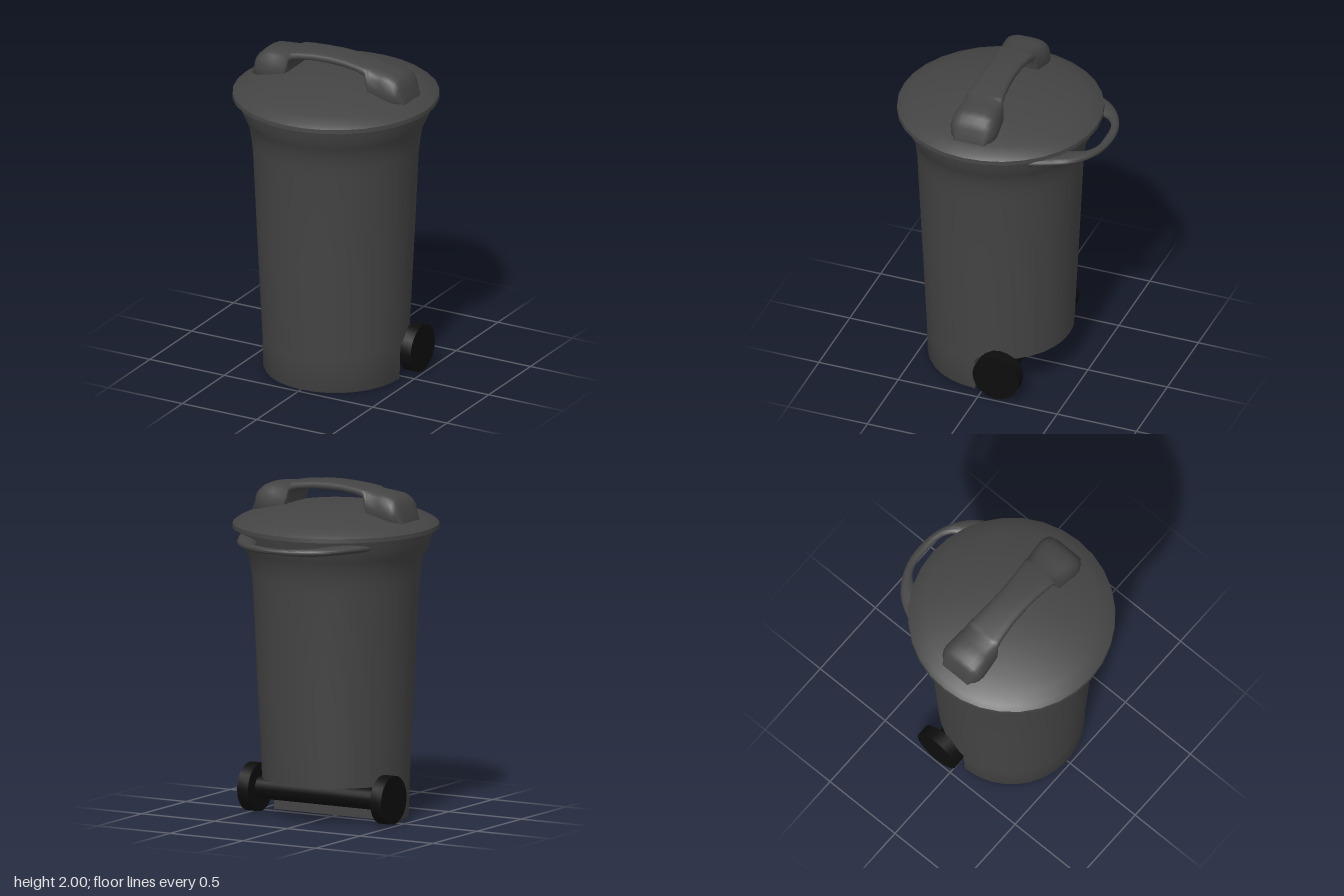
import * as THREE from 'three';
import { toCreasedNormals } from 'three/addons/utils/BufferGeometryUtils.js';

const plastic = new THREE.MeshStandardMaterial({ color: 0x444444 });
const rubber = new THREE.MeshStandardMaterial({ color: 0x0d0d0d });
const AXIS_Z = 0.05; // the bin's round parts share this axis

function add(parent, name, geometry, material, x = 0, y = 0, z = 0) {
  const mesh = new THREE.Mesh(geometry, material);
  mesh.name = name;
  mesh.position.set(x, y, z);
  parent.add(mesh);
  return mesh;
}

function lathe(points, segments = 32, start = 0, length = Math.PI * 2) {
  const profile = points.map(([r, y]) => new THREE.Vector2(r, y));
  return toCreasedNormals(new THREE.LatheGeometry(profile, segments, start, length), 0.7);
}

// Skin a run of closed rings and cap both ends
function loft(rings) {
  const n = rings[0].length, last = rings.length - 1;
  const pos = rings.flat().flatMap((p) => p.toArray()), index = [];
  for (let s = 0; s < last; s++) {
    for (let i = 0; i < n; i++) {
      const j = (i + 1) % n, a = s * n + i, d = s * n + j;
      index.push(a, a + n, d, a + n, d + n, d);
    }
  }
  for (const s of [0, last]) {
    const c = pos.length / 3;
    const mid = rings[s].reduce((m, p) => m.add(p), new THREE.Vector3()).divideScalar(n);
    pos.push(...mid.toArray());
    for (let i = 0; i < n; i++) {
      const a = s * n + i, b = s * n + (i + 1) % n;
      index.push(c, ...(s ? [b, a] : [a, b]));
    }
  }
  const g = new THREE.BufferGeometry();
  g.setAttribute('position', new THREE.Float32BufferAttribute(pos, 3));
  g.setIndex(index);
  return toCreasedNormals(g, 0.9);
}

const mirrored = (half) => [
  ...half.slice(1).reverse().map(([x, ...rest]) => [-x, ...rest]), ...half];
const ringAngles = Array.from({ length: 20 }, (_, i) => (i / 20) * Math.PI * 2);

// Bridge-shaped grip: x, top, bottom, half width
function lidHandleGeometry() {
  const stations = mirrored([
    [0, 2.0, 1.945, 0.098], [0.1, 1.996, 1.943, 0.1], [0.19, 1.987, 1.934, 0.107],
    [0.24, 1.98, 1.922, 0.112], [0.258, 1.977, 1.908, 0.114], [0.264, 1.976, 1.87, 0.115],
    [0.285, 1.972, 1.78, 0.117], [0.36, 1.964, 1.76, 0.124], [0.42, 1.955, 1.76, 0.128],
    [0.455, 1.938, 1.76, 0.122], [0.48, 1.915, 1.76, 0.11], [0.492, 1.87, 1.76, 0.095],
    [0.515, 1.81, 1.76, 0.085],
  ]);
  const soft = (v) => Math.sign(v) * Math.abs(v) ** 0.6;
  return loft(stations.map(([x, top, bottom, w]) => ringAngles.map((t) => {
    const y = (top + bottom) / 2 + soft(Math.cos(t)) * (top - bottom) / 2;
    const flare = 1 + 1.3 * (1.95 - Math.max(y, 1.84));
    return new THREE.Vector3(x, y, -soft(Math.sin(t)) * w * flare);
  })));
}

// Flat loop behind the rim, between an outer and an inner curve
function rearHandleGeometry() {
  const curve = (half) => new THREE.CatmullRomCurve3(
    mirrored(half).map(([x, z]) => new THREE.Vector3(x, 0, z)));
  const outer = curve([[0, -0.66], [0.08, -0.655], [0.16, -0.635], [0.25, -0.59],
    [0.33, -0.52], [0.39, -0.42], [0.46, -0.27]]);
  const inner = curve([[0, -0.607], [0.08, -0.605], [0.14, -0.59], [0.19, -0.55],
    [0.22, -0.48], [0.28, -0.38], [0.38, -0.24]]);
  const rings = [];
  for (let s = 0; s <= 36; s++) {
    const o = outer.getPoint(s / 36), i = inner.getPoint(s / 36);
    const mid = o.clone().add(i).multiplyScalar(0.5), reach = o.clone().sub(mid);
    const end = Math.abs(s / 18 - 1);
    rings.push(ringAngles.map((t) => mid.clone().addScaledVector(reach, Math.sin(t))
      .setY(1.668 + 0.01 * end * end + Math.cos(t) * (0.017 + 0.012 * end))));
  }
  return loft(rings);
}

export function createModel() {
  const bin = new THREE.Group();
  bin.name = 'wheeledBin';

  // Tapered body with a flared neck
  add(bin, 'body', lathe([[0, 0.23], [0.434, 0.23], [0.462, 0.8], [0.489, 1.38], [0.498, 1.46],
    [0.511, 1.54], [0.535, 1.59], [0.553, 1.63], [0.565, 1.67], [0.58, 1.727]]),
  plastic, 0, 0, AXIS_Z);

  // Front half of the base reaches the ground
  add(bin, 'base', lathe([[0, 0], [0.422, 0], [0.428, 0.012], [0.434, 0.23]], 16, -Math.PI / 2, Math.PI),
    plastic, 0, 0, AXIS_Z);

  // Flat wall facing the axle, with a small fillet at the top
  const wall = new THREE.Shape([[-0.01, 0], [0, 0], [0, 0.185], [0.008, 0.212], [0.035, 0.231],
    [-0.01, 0.231]].map(([u, v]) => new THREE.Vector2(u, v)));
  const wallGeometry = new THREE.ExtrudeGeometry(wall, { depth: 0.85, bevelEnabled: false });
  wallGeometry.translate(0, 0, -0.425).rotateY(Math.PI / 2);
  add(bin, 'baseBackWall', wallGeometry, plastic, 0, 0, AXIS_Z);

  // Domed lid and both handles
  add(bin, 'lid', lathe([[0, 1.725], [0.58, 1.725], [0.61, 1.72], [0.608, 1.745], [0.58, 1.766],
    [0.52, 1.792], [0.42, 1.82], [0.3, 1.845], [0.18, 1.86], [0, 1.867]]),
  plastic, 0, 0, AXIS_Z);
  add(bin, 'lidHandle', lidHandleGeometry(), plastic, 0, 0, AXIS_Z);
  add(bin, 'rearHandle', rearHandleGeometry(), plastic);

  // Axle and wheels
  const cylinder = (r, length) =>
    toCreasedNormals(new THREE.CylinderGeometry(r, r, length, 20).rotateZ(Math.PI / 2), 0.7);
  add(bin, 'axle', cylinder(0.068, 0.86), rubber, 0, 0.155, -0.11);
  for (const [side, name] of [[1, 'leftWheel'], [-1, 'rightWheel']]) {
    add(bin, name, cylinder(0.145, 0.075), rubber, side * 0.457, 0.155, -0.11);
  }
  return bin;
}
